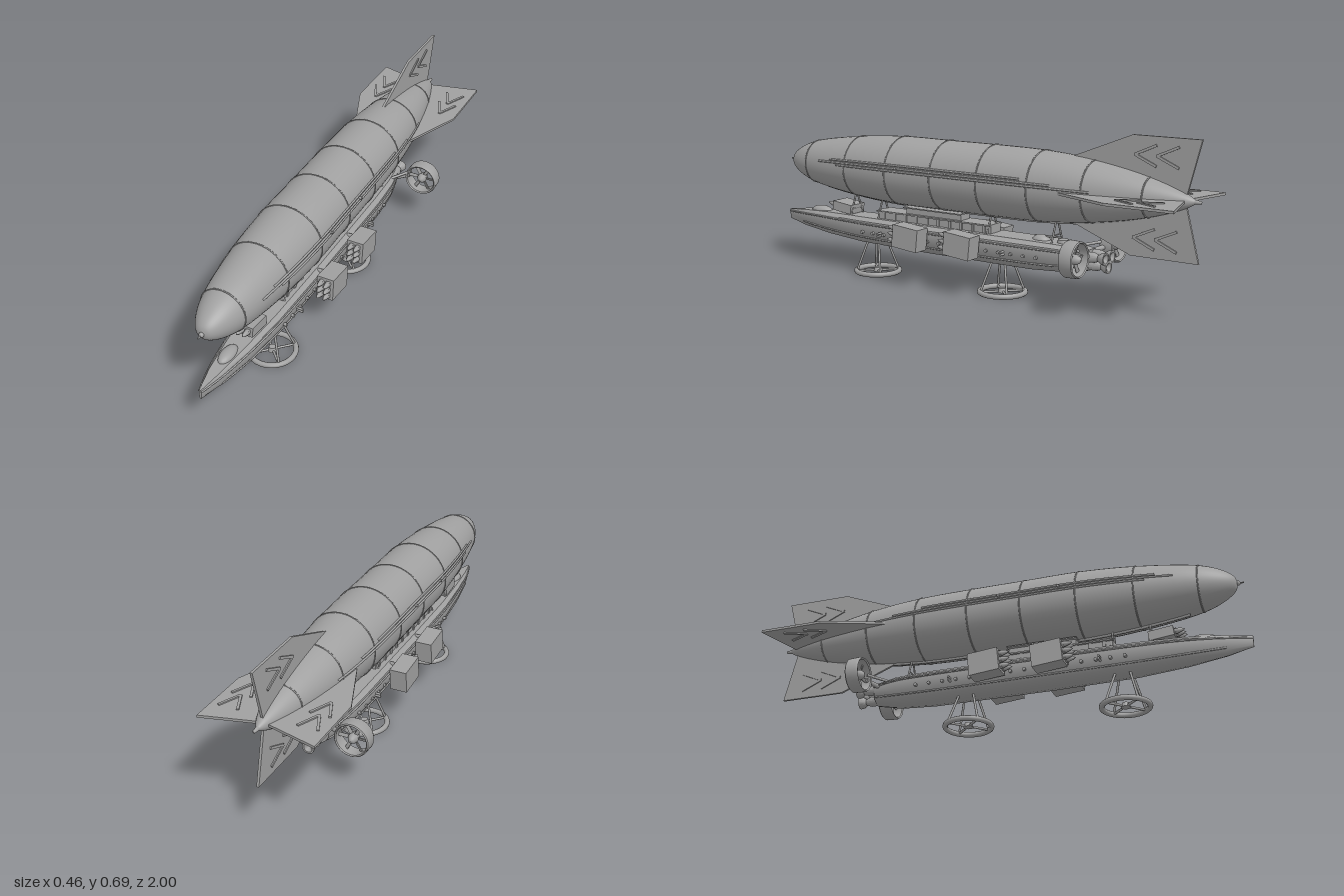
import * as THREE from 'three';
import { toCreasedNormals } from 'three/addons/utils/BufferGeometryUtils.js';

const V = (x, y, z) => new THREE.Vector3(x, y, z);

export function createModel() {
  const root = new THREE.Group();
  root.name = 'airship';
  const grey = new THREE.MeshStandardMaterial({ color: 0xa0a0a0 });
  grey.name = 'hull grey';

  // ---- helpers ----
  const add = (name, geo, parent = root, x = 0, y = 0, z = 0) => {
    const m = new THREE.Mesh(geo, grey);
    m.name = name;
    m.position.set(x, y, z);
    parent.add(m);
    return m;
  };
  const group = (name, x = 0, y = 0, z = 0, parent = root) => {
    const g = new THREE.Group();
    g.name = name;
    g.position.set(x, y, z);
    parent.add(g);
    return g;
  };
  const box = (name, w, h, d, x, y, z, parent) => add(name, new THREE.BoxGeometry(w, h, d), parent, x, y, z);
  const rod = (name, a, b, r, parent, sides = 8) => {
    const m = add(name, new THREE.CylinderGeometry(r, r, a.distanceTo(b), sides), parent);
    m.position.copy(a).lerp(b, 0.5);
    m.quaternion.setFromUnitVectors(V(0, 1, 0), b.clone().sub(a).normalize());
    return m;
  };
  // lathe around the z axis, points as [radius, z] with z rising
  const latheZ = (pts, seg = 24) =>
    new THREE.LatheGeometry(pts.map(p => new THREE.Vector2(p[0], p[1])), seg).rotateX(Math.PI / 2);

  // ---- gas envelope ----
  const axisY = 0.463;
  const key = [[0.001, -0.985], [0.027, -0.94], [0.077, -0.79], [0.12, -0.565], [0.14, -0.34], [0.144, -0.11],
    [0.144, 0.115], [0.144, 0.345], [0.129, 0.575], [0.093, 0.82], [0.062, 0.905], [0.03, 0.95], [0.001, 0.962]];
  const profile = new THREE.CatmullRomCurve3(key.map(p => V(Math.max(p[0], 0), p[1], 0)), false, 'centripetal').getPoints(60);
  const envelope = group('envelope', 0, axisY, 0);
  add('envelopeSkin', latheZ(profile.map(p => [Math.max(p.x, 0.0005), p.y]), 40), envelope);
  const radiusAt = z => {
    for (let i = 1; i < profile.length; i++) {
      const a = profile[i - 1], b = profile[i];
      if (z <= b.y) return a.x + (b.x - a.x) * (z - a.y) / (b.y - a.y);
    }
    return 0;
  };
  for (const z of [0.82, 0.575, 0.345, 0.115, -0.11, -0.34, -0.565, -0.795])
    add('envelopeRib', new THREE.TorusGeometry(radiusAt(z), 0.003, 6, 40), envelope, 0, 0, z);
  add('noseKnob', new THREE.SphereGeometry(0.01, 12, 8), envelope, 0, 0, 0.962);
  rod('noseSpike', V(0, 0, 0.96), V(0, 0, 0.985), 0.003, envelope);
  add('tailCap', latheZ([[0.001, -1], [0.006, -0.997], [0.009, -0.97], [0.014, -0.95]], 12), envelope);

  // rods that follow the skin: side rails and keel
  const skinRail = (name, angle, z0, z1, r) => {
    const pts = [];
    for (let i = 0; i <= 14; i++) {
      const z = z0 + (z1 - z0) * i / 14, d = radiusAt(z) + 0.001;
      pts.push(V(Math.cos(angle) * d, Math.sin(angle) * d, z));
    }
    add(name, new THREE.TubeGeometry(new THREE.CatmullRomCurve3(pts), 40, r, 6), envelope);
  };
  for (const s of [1, -1]) {
    for (const [a, z0, z1] of [[0.12, -0.6, 0.62], [0.2, -0.44, 0.73], [0.29, -0.31, 0.66]])
      skinRail('sideRail', s > 0 ? a : Math.PI - a, z0, z1, 0.0045);
    for (const z of [0.28, 0.03])
      rod('railClamp', V(s * 0.138, 0.03, z), V(s * 0.153, 0.033, z), 0.006, envelope);
  }
  skinRail('keel', -Math.PI / 2, -0.72, 0.77, 0.007);

  // ---- four tail fins with raised chevrons ----
  const finShape = new THREE.Shape([[-0.46, 0.125], [-0.72, 0.228], [-0.995, 0.228], [-0.94, 0.015], [-0.6, 0.05]]
    .map(p => new THREE.Vector2(p[0], p[1])));
  const finGeo = new THREE.ExtrudeGeometry(finShape, { depth: 0.01, bevelEnabled: false })
    .translate(0, 0, -0.005).rotateY(-Math.PI / 2);
  for (let i = 0; i < 4; i++) {
    const fin = group('tailFin', 0, 0, 0, envelope);
    fin.rotation.z = i * Math.PI / 2;
    add('finPlate', finGeo, fin);
    for (const z of [-0.73, -0.82])
      for (const e of [0.117, 0.195]) {
        const a = V(0, 0.156, z), b = V(0, e, z - 0.088);
        const bar = box('finChevron', 0.02, a.distanceTo(b), 0.01, 0, 0, 0, fin);
        bar.position.copy(a).lerp(b, 0.5);
        bar.rotation.x = Math.atan2(b.z - a.z, b.y - a.y);
      }
  }

  // ---- gondola: boat-like sections [z, half width, top, bottom] ----
  const stations = [[1, 0.005, 0.23, 0.185], [0.9, 0.032, 0.24, 0.163], [0.75, 0.056, 0.248, 0.143], [0.55, 0.073, 0.25, 0.128],
    [0.2, 0.079, 0.25, 0.123], [-0.3, 0.079, 0.25, 0.123], [-0.45, 0.07, 0.247, 0.132], [-0.55, 0.048, 0.235, 0.152]];
  const half = [[0, 0], [0.38, 0.05], [0.7, 0.19], [0.92, 0.42], [1, 0.7], [0.96, 0.88], [0.72, 1]];
  const outline = [...half, ...half.slice(1).reverse().map(p => [-p[0], p[1]])];
  const rings = stations.map(([z, w, t, b]) => outline.map(p => V(p[0] * w, b + p[1] * (t - b), z)));
  const verts = [];
  const tri = (...ps) => ps.forEach(p => verts.push(p.x, p.y, p.z));
  const n = outline.length;
  rings.forEach((a, k) => {
    const mid = V(0, (stations[k][2] + stations[k][3]) / 2, stations[k][0]);
    for (let i = 0; i < n; i++) {
      const j = (i + 1) % n, b = rings[k + 1];
      if (b) { tri(b[i], b[j], a[j]); tri(b[i], a[j], a[i]); }
      if (k === 0) tri(mid, a[i], a[j]);
      if (!b) tri(mid, a[j], a[i]);
    }
  });
  const hullGeo = new THREE.BufferGeometry();
  hullGeo.setAttribute('position', new THREE.Float32BufferAttribute(verts, 3));
  add('gondolaHull', toCreasedNormals(hullGeo, 0.6));

  for (const s of [1, -1]) {
    // rubbing strakes along the gondola
    for (const [u, v, r] of [[1, 0.8, 0.004], [0.82, 0.3, 0.004]]) {
      const pts = stations.slice(u === 1 ? 0 : 1).map(([z, w, t, b]) => V(s * w * u, b + v * (t - b), z));
      add('gondolaStrake', new THREE.TubeGeometry(new THREE.CatmullRomCurve3(pts), 40, r, 6));
    }
    // portholes
    for (let i = 0; i < 16; i++) {
      const z = 0.52 - i * 0.058;
      rod('porthole', V(s * 0.068, 0.19, z), V(s * 0.083, 0.19, z), 0.007);
    }
    for (const z of [0.42, -0.2])
      for (const y of [0.185, 0.196])
        rod('sideGun', V(s * 0.065, y, z), V(s * 0.098, y, z), 0.005);
  }
  const dome = (name, r, h, l, z) => add(name, new THREE.SphereGeometry(1, 20, 8, 0, Math.PI * 2, 0, Math.PI / 2).scale(r, h, l), root, 0, 0.243, z);
  dome('forwardDome', 0.028, 0.022, 0.055, 0.81);
  dome('rearDome', 0.03, 0.026, 0.04, -0.33);
  rod('rearGun', V(0, 0.262, -0.3), V(0, 0.266, -0.42), 0.004);
  add('rearHatch', new THREE.CylinderGeometry(0.022, 0.026, 0.016, 16), root, 0, 0.252, -0.43);

  // ---- deck house ----
  box('deckHouse', 0.07, 0.036, 0.58, 0, 0.265, 0.175);
  box('deckHouseRoof', 0.09, 0.006, 0.58, 0, 0.283, 0.175);
  box('upperHouse', 0.06, 0.026, 0.28, 0, 0.298, 0.175);
  box('upperRoof', 0.092, 0.005, 0.29, 0, 0.313, 0.175);
  for (const s of [1, -1])
    for (let i = 0; i < 10; i++)
      box('houseFrame', 0.006, 0.034, 0.012, s * 0.037, 0.265, 0.43 - i * 0.057);

  // ---- suspension frames ----
  for (const z of [0.61, 0.46, -0.1, -0.4])
    for (const s of [1, -1]) {
      rod('suspensionStrut', V(s * 0.042, 0.245, z), V(s * 0.006, 0.335, z), 0.004);
      rod('suspensionBrace', V(s * 0.03, 0.275, z), V(0, 0.275, z), 0.003);
    }

  // ---- rocket launchers ----
  const launcher = (name, x, y, z, w, h, d, xs, ys, tilt) => {
    const g = group(name, x, y, z);
    g.rotation.x = -tilt;
    box('launcherBox', w, h, d, 0, 0, 0, g);
    for (const rx of xs) for (const ry of ys) {
      const rocket = latheZ([[0.011, -0.02], [0.011, 0.012], [0.007, 0.03], [0.0005, 0.042]], 10);
      add('rocket', rocket, g, rx, ry, d / 2);
      for (const a of [0, Math.PI / 2])
        box('rocketFin', 0.026, 0.002, 0.012, rx, ry, d / 2 + 0.004, g).rotation.z = a + Math.PI / 4;
    }
  };
  for (const s of [1, -1])
    for (const z of [0.228, -0.03]) {
      launcher('sideLauncher', s * 0.125, 0.211, z, 0.072, 0.094, 0.125, [-0.014, 0.014], [-0.027, 0, 0.027], 0.1);
      rod('launcherArm', V(s * 0.06, 0.24, z), V(s * 0.1, 0.245, z), 0.008);
      rod('launcherArm', V(s * 0.06, 0.19, z), V(s * 0.1, 0.19, z), 0.008);
    }
  launcher('bowLauncher', 0, 0.277, 0.658, 0.092, 0.04, 0.1, [-0.026, 0, 0.026], [0.002], 0.12);
  box('bowLauncherMount', 0.04, 0.02, 0.06, 0, 0.253, 0.65);

  // ---- ring landing gear ----
  for (const z of [0.497, -0.148]) {
    const gear = group('landingGear', 0, 0, z);
    add('landingRing', new THREE.TorusGeometry(0.093, 0.011, 10, 40).rotateX(Math.PI / 2), gear, 0, 0.011, 0);
    add('landingHub', new THREE.CylinderGeometry(0.014, 0.02, 0.018, 16), gear, 0, 0.016, 0);
    for (const a of [1, -1]) {
      rod('landingSpoke', V(-0.064, 0.012, a * 0.064), V(0.064, 0.012, -a * 0.064), 0.005, gear);
      for (const b of [1, -1])
        rod('landingLeg', V(a * 0.03, 0.14, b * 0.03), V(a * 0.064, 0.016, b * 0.063), 0.005, gear);
    }
  }

  // ---- ducted propellers ----
  for (const s of [1, -1]) {
    const prop = group('ductedPropeller', s * 0.16, 0.229, -0.567);
    add('duct', toCreasedNormals(latheZ([[0.062, -0.025], [0.066, -0.029], [0.07, -0.025], [0.072, 0.02], [0.068, 0.029],
      [0.062, 0.025], [0.062, -0.025]], 36), 0.6), prop);
    add('propellerHub', latheZ([[0.0005, -0.03], [0.012, -0.026], [0.02, -0.01], [0.02, 0.012], [0.012, 0.024], [0.0005, 0.028]], 16), prop);
    for (let i = 0; i < 6; i++) {
      const blade = group('propellerBlade', 0, 0, 0, prop);
      blade.rotation.z = i * Math.PI / 3;
      box('blade', 0.05, 0.014, 0.004, 0.04, 0, 0, blade).rotation.x = 0.4;
    }
    rod('propellerPylon', V(s * 0.035, 0.215, -0.52), V(s * 0.1, 0.229, -0.56), 0.01);
    rod('propellerPylon', V(s * 0.04, 0.235, -0.48), V(s * 0.105, 0.25, -0.555), 0.006);
  }

  // ---- stern exhausts ----
  for (const [x, y] of [[0.027, 0.212], [-0.027, 0.212], [0, 0.175]]) {
    const nozzle = latheZ([[0.0005, -0.06], [0.018, -0.075], [0.025, -0.075], [0.023, -0.06], [0.013, -0.045], [0.02, -0.025], [0.02, 0.02]], 18);
    add('sternExhaust', toCreasedNormals(nozzle, 0.6), root, x, y, -0.555);
  }
  return root;
}
